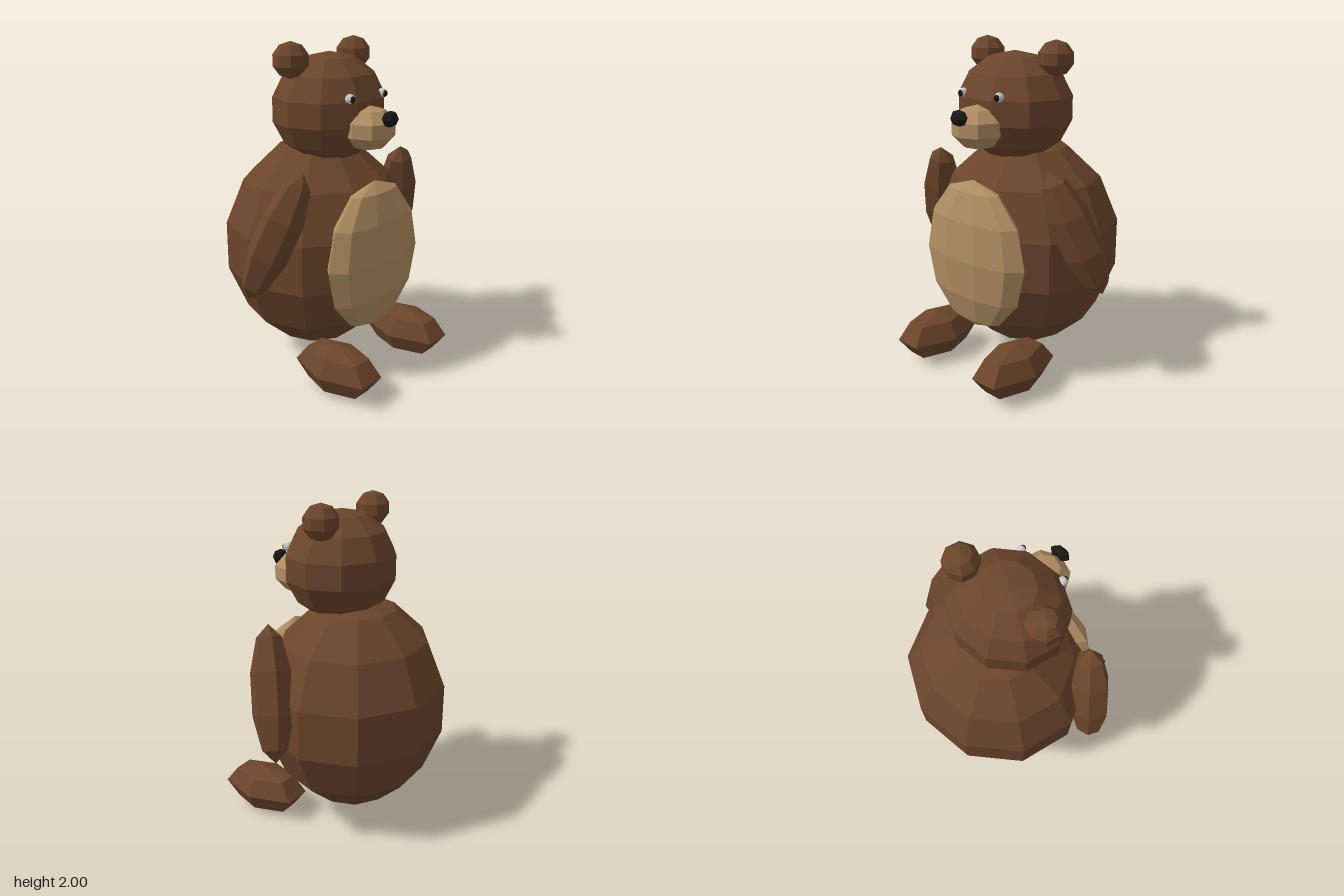
import * as THREE from 'three';

const material = (color) => new THREE.MeshStandardMaterial({ color, flatShading: true });

export function createModel() {
  const bear = new THREE.Group();
  bear.name = 'bear';

  const fur = material(0x6b452b);
  const tan = material(0xb08d62);
  const black = material(0x1a1714);
  const white = material(0xe8e8e8);

  // Faceted ellipsoid: radii, centre, number of sides and rows
  function blob(name, mat, radii, centre, sides, rows) {
    const geometry = new THREE.SphereGeometry(1, sides, rows);
    geometry.scale(...radii);
    const mesh = new THREE.Mesh(geometry, mat);
    mesh.name = name;
    mesh.position.set(...centre);
    bear.add(mesh);
    return mesh;
  }

  // Torso and belly patch
  blob('body', fur, [0.6, 0.67, 0.56], [0, 0.755, -0.1], 10, 7);
  blob('belly', tan, [0.4, 0.46, 0.137], [0, 0.76, 0.35], 10, 6);

  // Head, muzzle and nose
  blob('head', fur, [0.36, 0.325, 0.33], [0, 1.605, 0], 10, 7);
  blob('muzzle', tan, [0.16, 0.13, 0.163], [0, 1.52, 0.3], 8, 5);
  blob('nose', black, [0.065, 0.047, 0.04], [0, 1.59, 0.45], 6, 4);

  // Paired parts: left is +x
  for (const [side, s] of [['left', 1], ['right', -1]]) {
    blob(side + 'Ear', fur, [0.106, 0.104, 0.106], [s * 0.27, 1.896, -0.047], 8, 5);
    blob(side + 'Eye', white, [0.028, 0.028, 0.028], [s * 0.143, 1.7, 0.28], 8, 6);
    blob(side + 'Pupil', black, [0.019, 0.02, 0.017], [s * 0.144, 1.698, 0.297], 8, 6);
    blob(side + 'Foot', fur, [0.17, 0.148, 0.297], [s * 0.335, 0.148, 0.367], 6, 4);

    // Arm leans outward and back towards the paw
    const arm = blob(side + 'Arm', fur, [0.137, 0.395, 0.12], [s * 0.56, 0.96, 0.1], 6, 5);
    arm.rotation.set(0.29, 0, s * 0.31);
  }

  return bear;
}
